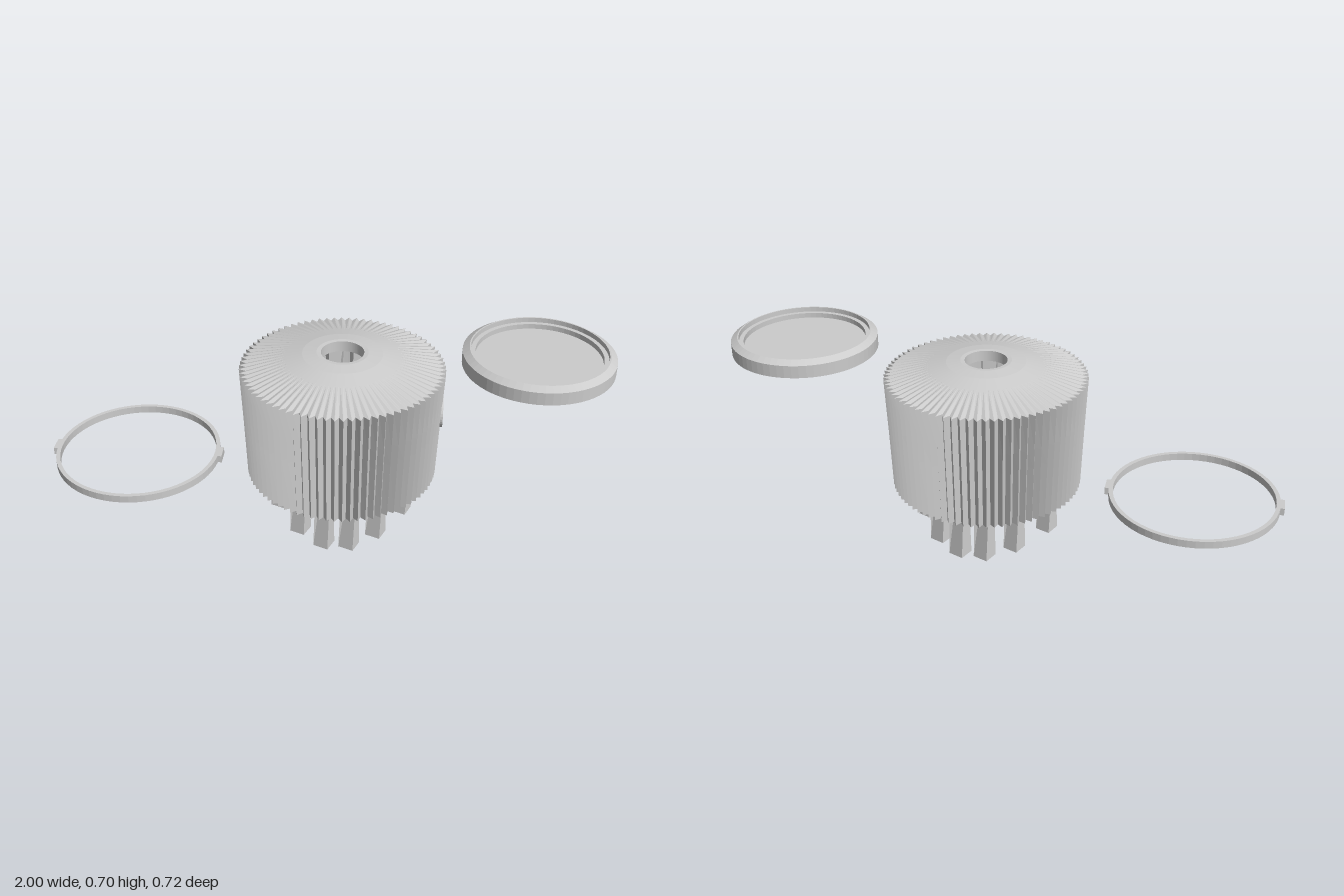
import * as THREE from 'three';

const mat = new THREE.MeshStandardMaterial({ color: 0xcccccc, flatShading: true, side: THREE.DoubleSide });

function add(parent, geometry, name, x = 0, y = 0, z = 0) {
  const mesh = new THREE.Mesh(geometry, mat);
  mesh.name = name;
  mesh.position.set(x, y, z);
  parent.add(mesh);
  return mesh;
}

const lathe = (points, segments = 64) =>
  new THREE.LatheGeometry(points.map(([r, y]) => new THREE.Vector2(r, y)), segments);

// Hollow knob shell: rings of alternating ridge and valley points
function knobShell() {
  const teeth = 80, n = teeth * 2;
  // radius, height, valley depth
  const profile = [
    [0.343, 0.19, 0.02], [0.351, 0.406, 0.021], [0.354, 0.474, 0.021], [0.36, 0.61, 0.023],
    [0.2, 0.645, 0], [0.14, 0.659, 0], [0.09, 0.665, 0], [0.075, 0.664, 0], [0.075, 0.625, 0],
    [0.2, 0.61, 0], [0.315, 0.58, 0], [0.315, 0.474, 0], [0.315, 0.406, 0], [0.315, 0.19, 0],
  ];
  const positions = [], index = [];
  for (const [r, y, depth] of profile) {
    for (let i = 0; i < n; i++) {
      const a = (i / n) * Math.PI * 2, radius = i % 2 ? r - depth : r;
      positions.push(radius * Math.cos(a), y, radius * Math.sin(a));
    }
  }
  for (let j = 0; j < profile.length; j++) {
    const k = (j + 1) % profile.length;
    for (let i = 0; i < n; i++) {
      const m = (i + 1) % n;
      // leave an opening for the screw tube on the left side
      const nearTube = Math.min(i, n - i) <= 3 && Math.min(m, n - m) <= 3;
      if ((j === 1 || j === 11) && nearTube) continue;
      index.push(j * n + i, k * n + i, k * n + m, j * n + i, k * n + m, j * n + m);
    }
  }
  const g = new THREE.BufferGeometry();
  g.setAttribute('position', new THREE.Float32BufferAttribute(positions, 3));
  g.setIndex(index);
  g.computeVertexNormals();
  return g;
}

// Square leg that turns by an eighth of a revolution over its height
function legGeometry() {
  const h = 0.6;
  const g = new THREE.CylinderGeometry(0.04, 0.04, h, 4).translate(0, h / 2, 0);
  const p = g.attributes.position, v = new THREE.Vector3(), up = new THREE.Vector3(0, 1, 0);
  for (let i = 0; i < p.count; i++) {
    v.fromBufferAttribute(p, i);
    v.applyAxisAngle(up, Math.PI / 8 + (v.y / h) * Math.PI / 4);
    p.setXYZ(i, v.x, v.y, v.z);
  }
  g.computeVertexNormals();
  return g;
}

export function createModel() {
  const model = new THREE.Group();
  model.name = 'knobAssembly';

  // Knob
  const knob = new THREE.Group();
  knob.name = 'knob';
  knob.position.x = 0.07;
  model.add(knob);
  add(knob, knobShell(), 'ridgedShell');

  // Legs, mirrored from one quarter
  const leg = legGeometry();
  for (const sx of [-1, 1]) {
    add(knob, leg, 'leg', sx * 0.226, 0, 0);
    for (const sz of [-1, 1]) {
      add(knob, leg, 'leg', sx * 0.137, 0, sz * 0.151);
      add(knob, leg, 'leg', sx * 0.045, 0, sz * 0.227);
    }
  }

  // Screw tube open to the side, and the pin facing it inside
  const tube = lathe([[0, 0.045], [0.03, 0.055], [0.055, 0.09], [0.055, 0.357],
    [0.042, 0.357], [0.042, 0.3], [0, 0.3]], 32).rotateZ(-Math.PI / 2);
  add(knob, tube, 'screwTube', 0, 0.44, 0);
  const pin = lathe([[0, 0.04], [0.03, 0.05], [0.04, 0.08], [0.04, 0.317]], 32).rotateZ(Math.PI / 2);
  add(knob, pin, 'innerPin', 0, 0.44, 0);

  // Cap with a chamfered rim and a recessed top
  add(model, lathe([[0, 0.645], [0.26, 0.645], [0.26, 0.69], [0.237, 0.705],
    [0.232, 0.705], [0.232, 0.688], [0.216, 0.688], [0.216, 0.67], [0, 0.67]]), 'cap', 0.74);

  // Retaining ring with two tabs
  const ring = new THREE.Group();
  ring.name = 'retainingRing';
  ring.position.x = -0.685;
  model.add(ring);
  add(ring, lathe([[0.287, 0.193], [0.302, 0.193], [0.302, 0.22], [0.287, 0.22], [0.287, 0.193]]), 'ringBand');
  for (const s of [-1, 1]) {
    add(ring, new THREE.BoxGeometry(0.02, 0.027, 0.06), 'ringTab', s * 0.305, 0.2065, 0);
  }
  return model;
}
